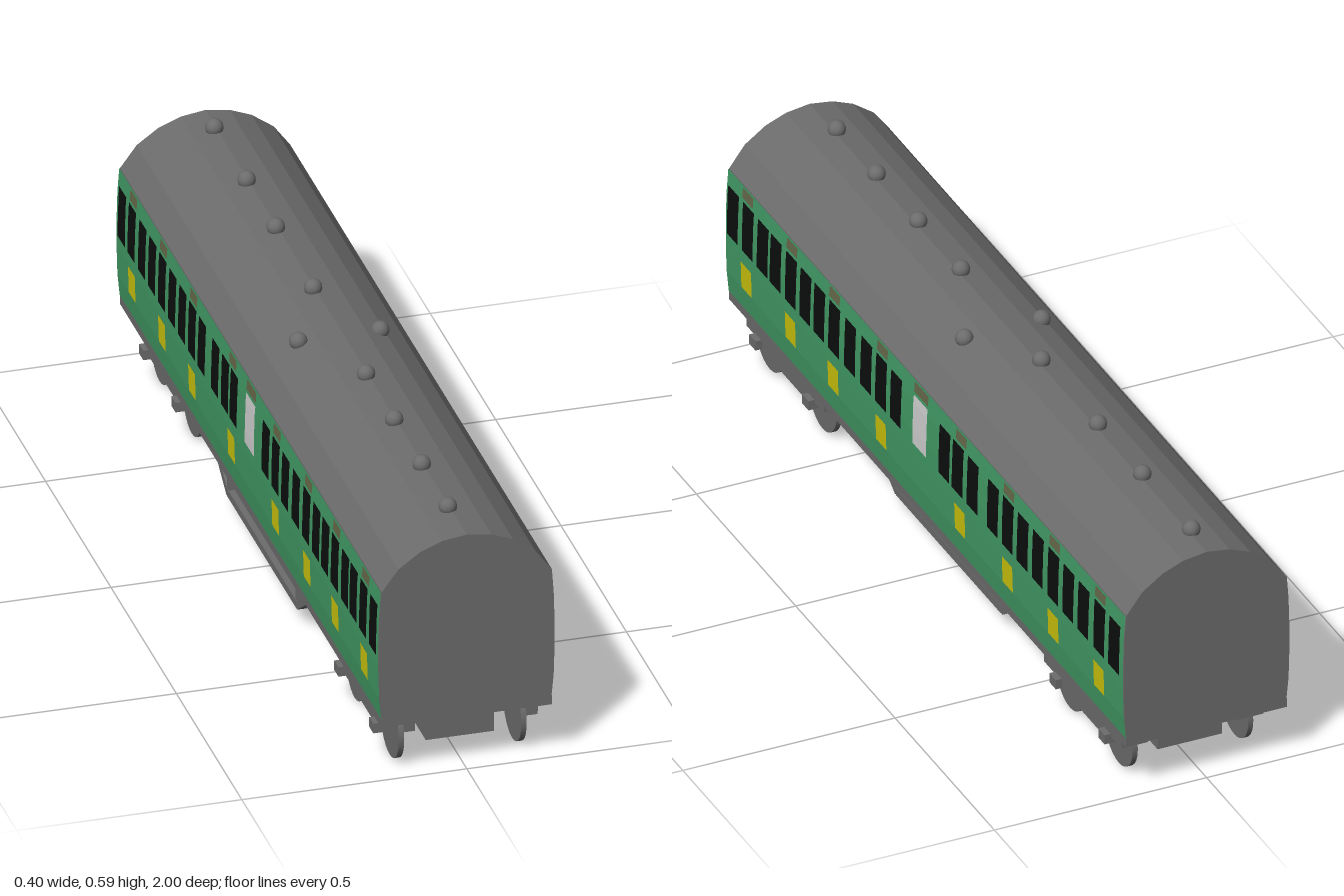
import * as THREE from 'three';

const mat = (name, color, extra = {}) => {
  const m = new THREE.MeshStandardMaterial({ color, ...extra });
  m.name = name;
  return m;
};

export function createModel() {
  const grey = mat('grey', 0x6c6c6c);
  const green = mat('green', 0x429a65);
  const black = mat('window black', 0x0c0e0e);
  const yellow = mat('door yellow', 0xcbc40e);
  const white = mat('frosted white', 0xd0d0d0);
  const brown = mat('olive brown', 0x65694a);

  const model = new THREE.Group();
  model.name = 'railwayCarriage';

  const add = (parent, name, geo, material, x = 0, y = 0, z = 0) => {
    const m = new THREE.Mesh(geo, material);
    m.name = name;
    m.position.set(x, y, z);
    parent.add(m);
    return m;
  };
  const box = (parent, name, w, h, d, x, y, z) =>
    add(parent, name, new THREE.BoxGeometry(w, h, d), grey, x, y, z);

  // Body cross-section: bulging side, then faceted roof
  const side = [[0.19, 0.148], [0.195, 0.2], [0.197, 0.27], [0.197, 0.33], [0.195, 0.4], [0.191, 0.455]];
  const roof = [[0.152, 0.505], [0.103, 0.54], [0.055, 0.559], [0, 0.567]];
  const half = [...side.map(([x, y]) => [x - 0.002, y]), ...roof];
  const outline = [...half, ...half.slice(0, -1).reverse().map(([x, y]) => [-x, y])];
  const bodyGeo = new THREE.ExtrudeGeometry(
    new THREE.Shape(outline.map(([x, y]) => new THREE.Vector2(x, y))), { depth: 2, bevelEnabled: false });
  add(model, 'roofAndEnds', bodyGeo, grey, 0, 0, -1);
  box(model, 'underframe', 0.38, 0.021, 1.998, 0, 0.138, 0);

  // Half width of the side at a height
  const widthAt = (y) => {
    for (let i = 1; i < side.length; i++) {
      const [x0, y0] = side[i - 1], [x1, y1] = side[i];
      if (y <= y1) return x0 + (x1 - x0) * (y - y0) / (y1 - y0);
    }
    return side[side.length - 1][0];
  };

  // Thin plate that follows the curved side; s is +1 or -1
  const plate = (parent, name, material, s, y0, y1, z0, z1, lift) => {
    const ys = [y0, ...side.map((p) => p[1]).filter((y) => y > y0 && y < y1), y1];
    const pos = [];
    for (let i = 1; i < ys.length; i++) {
      const lo = ys[i - 1], hi = ys[i];
      const a = [s * (widthAt(lo) + lift), lo, z1], b = [s * (widthAt(lo) + lift), lo, z0];
      const c = [s * (widthAt(hi) + lift), hi, z0], d = [s * (widthAt(hi) + lift), hi, z1];
      pos.push(...(s > 0 ? [a, b, c, a, c, d] : [a, c, b, a, d, c]).flat());
    }
    const geo = new THREE.BufferGeometry();
    geo.setAttribute('position', new THREE.Float32BufferAttribute(pos, 3));
    geo.computeVertexNormals();
    return add(parent, name, geo, material);
  };

  // Sides with windows, door panels and ventilators above the doors
  const windows = [0.963, 0.888, 0.813, 0.748, 0.671, 0.598, 0.528, 0.453, 0.373, 0.292, 0.217, 0.142,
    -0.102, -0.169, -0.244, -0.346, -0.421, -0.496, -0.572, -0.65, -0.726, -0.802, -0.882, -0.957];
  const doors = [0.895, 0.673, 0.458, 0.217, -0.18, -0.42, -0.65, -0.88];
  for (const s of [1, -1]) {
    const g = new THREE.Group();
    g.name = s > 0 ? 'leftSide' : 'rightSide';
    model.add(g);
    plate(g, 'sidePanel', green, s, 0.148, 0.455, -1, 1, 0);
    for (const z of windows) plate(g, 'window', black, s, 0.3, 0.42, z - 0.027, z + 0.027, 0.002);
    plate(g, 'frostedWindow', white, s, 0.3, 0.42, -0.013, 0.056, 0.002);
    plate(g, 'ventilator', brown, s, 0.428, 0.452, -0.013, 0.056, 0.002);
    for (const d of doors) {
      const z = s < 0 && d === -0.18 ? -0.12 : d;
      plate(g, 'doorPanel', yellow, s, 0.204, 0.268, z - 0.026, z + 0.026, 0.002);
      plate(g, 'ventilator', brown, s, 0.428, 0.452, z - 0.026, z + 0.026, 0.002);
    }
  }

  // Domed roof vents
  const dome = new THREE.SphereGeometry(0.02, 16, 12);
  for (const z of [-0.91, -0.663, -0.44, -0.155, 0.25, 0.465, 0.675, 0.875])
    add(model, 'roofVent', dome, grey, -0.006, 0.573, z);
  for (const x of [-0.092, 0.09]) add(model, 'roofVent', dome, grey, x, 0.55, 0.028);

  // Two bogies
  const wheelGeo = new THREE.CylinderGeometry(0.07, 0.07, 0.012, 28).rotateZ(Math.PI / 2);
  for (const [name, zc, zA, zB] of [['frontBogie', 0.757, 0.892, 0.625], ['rearBogie', -0.742, -0.62, -0.866]]) {
    const g = new THREE.Group();
    g.name = name;
    model.add(g);
    box(g, 'bogieFrame', 0.152, 0.06, 0.36, 0.003, 0.078, zc);
    box(g, 'bogieBolster', 0.27, 0.03, 0.1, 0.003, 0.115, zc);
    for (const s of [1, -1]) {
      box(g, 'sideFrame', 0.062, 0.047, 0.25, 0.003 + s * 0.135, 0.08, zc).scale.y = 0.75;
      box(g, 'sideBeam', 0.062, 0.045, 0.39, 0.004 + s * 0.136, 0.105, zc);
      for (const z of [zA, zB]) {
        add(g, 'wheel', wheelGeo, grey, 0.002 + s * 0.136, 0.07, z);
        box(g, 'axleBox', 0.03, 0.023, 0.032, 0.002 + s * 0.168, 0.077, z);
      }
    }
  }

  // Truss rods under the middle
  const truss = new THREE.Group();
  truss.name = 'truss';
  model.add(truss);
  for (const x of [-0.156, 0.131]) {
    box(truss, 'trussBar', 0.018, 0.018, 0.53, x, 0.044, 0);
    for (const s of [1, -1]) {
      box(truss, 'trussPost', 0.016, 0.095, 0.014, x, 0.084, s * 0.262);
      const dy = 0.092, dz = 0.135;
      const rod = box(truss, 'trussDiagonal', 0.018, 0.018, Math.hypot(dy, dz), x, 0.088, s * 0.332);
      rod.rotation.x = -s * Math.atan2(dy, dz);
    }
  }
  for (const s of [1, -1]) box(truss, 'crossBar', 0.287, 0.018, 0.016, -0.012, 0.044, s * 0.262);

  // Gas tanks
  const tank = new THREE.CylinderGeometry(0.043, 0.043, 0.2, 24).rotateX(Math.PI / 2);
  for (const x of [-0.112, 0.066]) add(model, 'tank', tank, grey, x, 0.095, -0.36);

  return model;
}
